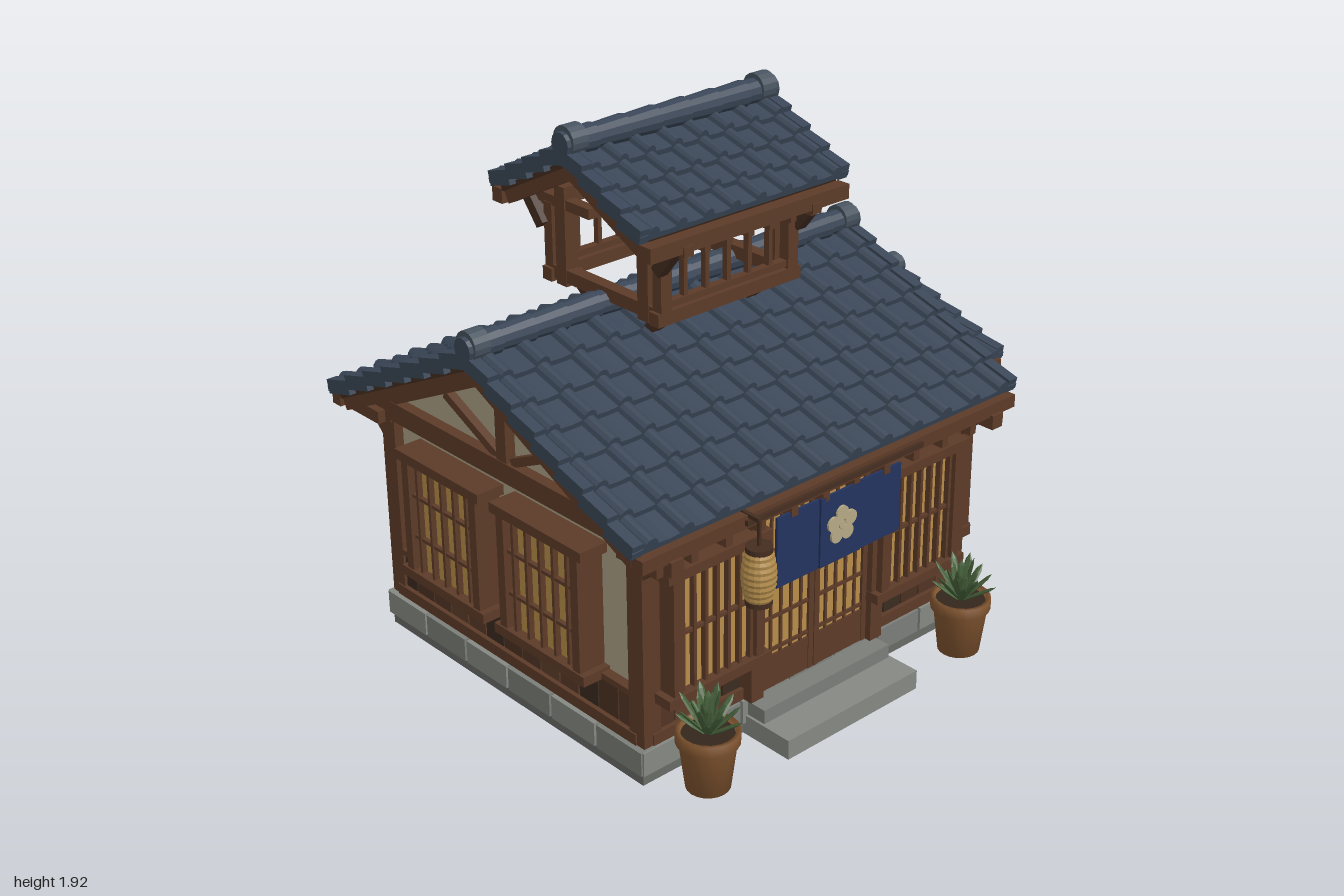
import * as THREE from 'three';

const C = {
  tile: 0x3a4657, ridge: 0x47535f, wood: 0x5c3b28, dark: 0x452d20, plaster: 0xaba085, stone: 0x7a7d78, slab: 0x686a66,
  paper: 0xb88d48, cloth: 0x22335e, petal: 0xb5a886, clay: 0x80542f, soil: 0x33261c, leaf: 0x45603a, lamp: 0xb08a4a,
};
const mats = {};
const mat = (c) => (mats[c] ??= new THREE.MeshStandardMaterial({ color: c, flatShading: true }));

function add(parent, name, geo, color, x = 0, y = 0, z = 0) {
  const m = new THREE.Mesh(geo, mat(color));
  m.name = name;
  m.position.set(x, y, z);
  parent.add(m);
  return m;
}
const box = (p, name, color, w, h, d, x, y, z) => add(p, name, new THREE.BoxGeometry(w, h, d), color, x, y, z);
function group(parent, name, x = 0, y = 0, z = 0, ry = 0) {
  const g = new THREE.Group();
  g.name = name;
  g.position.set(x, y, z);
  g.rotation.y = ry;
  parent.add(g);
  return g;
}
// Square timber between two points
function timber(p, name, a, b, w = 0.04, color = C.wood) {
  const A = new THREE.Vector3(...a), B = new THREE.Vector3(...b), dir = B.clone().sub(A);
  const m = box(p, name, color, w, dir.length(), w, 0, 0, 0);
  m.position.copy(A).add(B).multiplyScalar(0.5);
  m.quaternion.setFromUnitVectors(new THREE.Vector3(0, 1, 0), dir.normalize());
}

// Gable roof: stepped courses of rolled tiles, verges, deck, barge boards and ridge
function roof(parent, name, o) {
  const g = group(parent, name, (o.x0 + o.x1) / 2, 0, o.zc);
  const W = o.x1 - o.x0, drop = o.ridgeY - o.eaveY, a = Math.atan2(drop, o.half);
  const len = Math.hypot(drop, o.half), step = len / o.rows, pitch = W / o.cols, k = Math.min(1, pitch / 0.13);
  const s = new THREE.Shape();
  s.moveTo(-W / 2, -0.018);
  const us = [0, 0.3, 0.34, 0.42, 0.5, 0.58, 0.66, 0.7], hs = [0, 0.003, 0.018, 0.028, 0.031, 0.028, 0.018, 0.003];
  for (let c = 0; c < o.cols; c++) us.forEach((u, i) => s.lineTo(-W / 2 + (c + u) * pitch, hs[i] * k));
  s.lineTo(W / 2, 0);
  s.lineTo(W / 2, -0.018);
  const course = new THREE.ExtrudeGeometry(s, { depth: step * 1.06, bevelEnabled: false });
  for (const side of [0, Math.PI]) {
    const half = group(g, 'roofSlope', 0, o.ridgeY, 0, side);
    const slope = group(half, 'tiles');
    slope.rotation.x = a;
    box(slope, 'roofDeck', C.dark, W - 0.05, 0.018, len - 0.02, 0, -0.025, len / 2);
    for (let r = 0; r < o.rows; r++) {
      add(slope, 'tileCourse', course, C.tile, 0, 0, r * step).rotation.x = -0.02 / step;
      for (const e of [-1, 1])
        box(slope, 'vergeTile', C.tile, 0.04, 0.05, step * 1.05, e * (W / 2 - 0.02), 0.008, (r + 0.5) * step).rotation.x = -0.02 / step;
    }
    for (const e of [-1, 1]) box(slope, 'bargeBoard', C.wood, 0.035, 0.05, len - 0.02, e * (W / 2 - 0.05), -0.052, len / 2);
  }
  // Ridge rolls and round end caps
  const n = Math.round(W / 0.13), seg = W / n, y = o.ridgeY + o.r * 0.9;
  for (let i = 0; i < n; i++)
    add(g, 'ridgeTile', new THREE.CylinderGeometry(o.r * 0.8, o.r * 0.92, seg, 12), C.tile, -W / 2 + (i + 0.5) * seg, y - 0.008, 0).rotation.z = Math.PI / 2;
  for (const e of [-1, 1])
    add(g, 'ridgeCap', new THREE.CylinderGeometry(o.r, o.r, 0.06, 16), C.ridge, e * (W / 2 - 0.045), y, 0).rotation.z = Math.PI / 2;
}

// Projecting lattice window on a wall facing local +z
function latticeWindow(wall, x, y, w, h, bars, rows, depth = 0.1) {
  const g = group(wall, 'window', x, y, 0);
  box(g, 'paper', C.paper, w - 0.03, h - 0.03, 0.04, 0, 0, depth * 0.5);
  for (const e of [-1, 1]) {
    box(g, 'windowFrame', C.wood, 0.035, h, depth, e * (w / 2 - 0.017), 0, depth / 2);
    box(g, 'windowRail', C.wood, w + 0.05, 0.035, depth + 0.012, 0, e * (h / 2 - 0.01), depth / 2);
  }
  for (let i = 1; i < bars; i++) box(g, 'bar', C.wood, 0.012, h - 0.03, 0.02, -w / 2 + (i * w) / bars, 0, depth * 0.8);
  for (let i = 1; i < rows; i++) box(g, 'crossBar', C.wood, w - 0.03, 0.012, 0.016, 0, -h / 2 + (i * h) / rows, depth * 0.78);
}
// Skirting of boards in alternating browns
function boards(wall, x0, x1) {
  const n = Math.max(1, Math.round((x1 - x0) / 0.095)), w = (x1 - x0) / n;
  const shades = [0x5a3927, 0x4a3021, 0x5f3d2a, 0x3b2b20, 0x523424];
  for (let i = 0; i < n; i++) box(wall, 'skirtBoard', shades[(i * 3 + n) % 5], w - 0.006, 0.14, 0.025, x0 + (i + 0.5) * w, 0.23, 0.012);
  box(wall, 'skirtRail', C.wood, x1 - x0, 0.022, 0.04, (x0 + x1) / 2, 0.305, 0.015);
}
// Solid gabled block
function gableBlock(p, name, x0, x1, zc, half, eave, apex) {
  const s = new THREE.Shape([[-half, 0.13], [half, 0.13], [half, eave], [0, apex], [-half, eave]].map((q) => new THREE.Vector2(...q)));
  const geo = new THREE.ExtrudeGeometry(s, { depth: x1 - x0, bevelEnabled: false }).rotateY(Math.PI / 2);
  add(p, name, geo, C.plaster, x0, 0, zc);
}
// Truss timbers in a gable at the given x
function truss(p, x, zc, half, base, apex) {
  const g = group(p, 'gableTruss', x, 0, zc);
  box(g, 'tieBeam', C.wood, 0.05, 0.05, half * 2 + 0.16, 0, base, 0);
  box(g, 'kingPost', C.wood, 0.045, apex - base, 0.05, 0, (apex + base) / 2, 0);
  for (const e of [-1, 1]) {
    timber(g, 'rafter', [0, apex - 0.02, 0], [0, base + 0.02, e * half], 0.045);
    timber(g, 'strut', [0, base + 0.03, e * 0.04], [0, (apex + base) / 2 - 0.02, e * half * 0.48], 0.03);
  }
}
// Eave purlins with rafter ends on both long sides
function eaves(p, x0, x1, zc, out, wallHalf, y, n) {
  for (const e of [-1, 1]) {
    box(p, 'eavePurlin', C.wood, x1 - x0, 0.045, 0.045, (x0 + x1) / 2, y, zc + e * out);
    for (let i = 0; i < n; i++) {
      const x = x0 + ((i + 0.5) * (x1 - x0)) / n;
      box(p, 'rafterEnd', C.wood, 0.028, 0.045, out - wallHalf + 0.04, x, y - 0.035, zc + (e * (out + wallHalf)) / 2);
    }
  }
}

function pottedPlant(parent, x, z) {
  const g = group(parent, 'pottedPlant', x, 0.01, z);
  const prof = [[0, 0], [0.072, 0], [0.093, 0.165], [0.103, 0.165], [0.103, 0.205], [0.088, 0.205], [0.085, 0.185], [0, 0.185]];
  const pot = add(g, 'pot', new THREE.LatheGeometry(prof.map((q) => new THREE.Vector2(...q)), 20), C.clay);
  pot.material = new THREE.MeshStandardMaterial({ color: C.clay });
  add(g, 'soil', new THREE.CylinderGeometry(0.086, 0.086, 0.01, 16), C.soil, 0, 0.187, 0);
  for (let i = 0; i < 22; i++) {
    const turn = group(g, 'leafStem', 0, 0.185, 0, i * 2.4);
    const len = 0.17 - 0.02 * (i % 3);
    const leaf = add(turn, 'leaf', new THREE.SphereGeometry(1, 6, 4).translate(0, 1, 0), C.leaf);
    leaf.scale.set(0.017, len / 2, 0.006);
    leaf.rotation.x = 0.12 + (i / 22) * 0.85;
  }
}

export function createModel() {
  const root = new THREE.Group();
  root.name = 'tiledHouse';
  const zc = -0.063, X0 = -0.83, X1 = 0.57, H = 0.63, xm = (X0 + X1) / 2;

  // Stone base and entrance steps
  box(root, 'baseSlab', C.slab, 1.45, 0.12, 1.33, -0.147, 0.06, zc);
  for (const e of [-1, 1]) {
    for (let i = 0; i < 7; i++) box(root, 'baseStone', i % 2 ? C.stone : 0x858883, 0.2, 0.085, 0.06, -0.147 + (i - 3) * 0.2107, 0.085, zc + e * 0.648);
    for (let i = 0; i < 6; i++) box(root, 'baseStone', i % 2 ? C.stone : 0x858883, 0.06, 0.085, 0.215, -0.147 + e * 0.708, 0.085, zc + (i - 2.5) * 0.2257);
  }
  box(root, 'lowerStep', 0x858883, 0.6, 0.07, 0.22, -0.145, 0.035, 0.7);
  box(root, 'upperStep', C.stone, 0.58, 0.05, 0.1, -0.145, 0.095, 0.64);

  // Main house
  const house = group(root, 'mainHouse');
  gableBlock(house, 'walls', X0, X1, zc, H, 0.9, 1.2);
  const front = group(house, 'frontWall', xm, 0, zc + H), back = group(house, 'backWall', xm, 0, zc - H, Math.PI);
  const left = group(house, 'sideWall', X0, 0, zc, -Math.PI / 2), right = group(house, 'sideWall', X1, 0, zc, Math.PI / 2);
  for (const [wall, half] of [[front, 0.7], [back, 0.7], [left, H], [right, H]]) {
    box(wall, 'sill', C.wood, half * 2, 0.04, 0.06, 0, 0.15, 0.01);
    box(wall, 'wallPlate', C.wood, half * 2 + 0.06, 0.05, 0.05, 0, 0.835, 0.015);
    if (wall !== front) boards(wall, -half, half);
    for (const e of [-1, 1]) box(wall, 'cornerPost', C.wood, 0.07, 0.73, 0.07, e * half, 0.495, 0);
  }
  boards(front, -0.7, -0.3);
  boards(front, 0.26, 0.7);
  latticeWindow(front, -0.475, 0.52, 0.38, 0.46, 8, 2);
  latticeWindow(front, 0.445, 0.52, 0.38, 0.46, 8, 2);
  for (const x of [-0.2, 0.25]) latticeWindow(back, x, 0.53, 0.39, 0.46, 6, 3);
  for (const x of [-0.27, 0.24]) latticeWindow(left, x, 0.53, 0.4, 0.46, 6, 3);

  // Sliding doors
  const door = group(front, 'doorway', -0.015, 0, 0);
  for (const e of [-1, 1]) {
    box(door, 'doorPost', C.wood, 0.055, 0.72, 0.09, e * 0.275, 0.49, 0.03);
    const d = group(door, 'slidingDoor', e * 0.125, 0, 0.03);
    box(d, 'doorPanel', C.wood, 0.24, 0.12, 0.04, 0, 0.19, 0);
    box(d, 'doorPaper', C.paper, 0.24, 0.54, 0.025, 0, 0.52, 0);
    for (const s of [-1, 1]) box(d, 'doorStile', C.wood, 0.022, 0.66, 0.045, s * 0.112, 0.46, 0);
    for (let i = 1; i < 5; i++) box(d, 'doorBar', C.wood, 0.01, 0.54, 0.03, -0.112 + i * 0.045, 0.52, 0.005);
    for (const y of [0.27, 0.39, 0.51, 0.63, 0.76]) box(d, 'doorRail', C.wood, 0.24, 0.012, 0.034, 0, y, 0.003);
  }

  // Doorway curtain with a blossom
  const curtain = group(root, 'doorCurtain', -0.143, 0, 0.718);
  for (let i = -1; i <= 1; i++) box(curtain, 'curtainPanel', C.cloth, 0.182, 0.245, 0.01, i * 0.186, 0.7, i ? 0 : 0.004);
  timber(curtain, 'curtainRod', [-0.42, 0.865, 0.015], [0.36, 0.865, 0.015], 0.018, C.dark);
  for (let i = 0; i < 6; i++) {
    const t = (i * Math.PI * 2) / 5 + Math.PI / 2, r = i < 5 ? 0.04 : 0;
    add(curtain, 'petal', new THREE.CylinderGeometry(i < 5 ? 0.026 : 0.014, i < 5 ? 0.026 : 0.014, 0.01, 14), C.petal, r * Math.cos(t), 0.705 + r * Math.sin(t), 0.012).rotation.x = Math.PI / 2;
  }

  // Main roof and its timbers
  roof(root, 'mainRoof', { x0: -0.995, x1: 0.705, zc, ridgeY: 1.265, eaveY: 0.9, half: 0.765, rows: 7, cols: 12, r: 0.05 });
  eaves(root, -0.97, 0.685, zc, 0.77, H, 0.865, 12);
  for (const x of [X0 - 0.015, X1 + 0.015]) {
    truss(root, x, zc, H, 0.855, 1.2);
    for (const e of [-1, 1]) {
      timber(root, 'eaveBracket', [x, 0.73, zc + e * 0.64], [x, 0.84, zc + e * 0.75], 0.035);
      box(root, 'bracketBeam', C.wood, 0.05, 0.05, 0.2, x, 0.825, zc + e * 0.705);
    }
  }

  // Side annex
  const annex = group(root, 'annex'), az = -0.095, A = 0.435;
  gableBlock(annex, 'annexWalls', 0.56, 0.885, az, A, 0.81, 0.95);
  const aRight = group(annex, 'annexSideWall', 0.885, 0, az, Math.PI / 2);
  const aFront = group(annex, 'annexFrontWall', 0.735, 0, az + A), aBack = group(annex, 'annexBackWall', 0.735, 0, az - A, Math.PI);
  for (const [wall, half] of [[aRight, A], [aFront, 0.15], [aBack, 0.15]]) {
    box(wall, 'annexSill', C.wood, half * 2 + 0.06, 0.04, 0.06, 0, 0.145, 0.01);
    box(wall, 'annexPlate', C.wood, half * 2 + 0.06, 0.05, 0.05, 0, 0.79, 0.01);
    boards(wall, -half, half);
    for (const e of [-1, 1]) box(wall, 'annexPost', C.wood, 0.06, 0.66, 0.06, e * half, 0.46, 0);
  }
  latticeWindow(aRight, 0, 0.525, 0.44, 0.44, 5, 3, 0.095);
  latticeWindow(aBack, 0, 0.525, 0.17, 0.44, 4, 3, 0.06);
  roof(annex, 'annexRoof', { x0: 0.585, x1: 0.995, zc: az, ridgeY: 1.005, eaveY: 0.83, half: 0.505, rows: 5, cols: 5, r: 0.042 });
  eaves(annex, 0.6, 0.97, az, 0.505, A, 0.81, 4);
  truss(annex, 0.9, az, A, 0.805, 0.955);

  // Open roof lantern
  const cup = group(root, 'roofLantern', -0.143, 0, zc);
  for (const e of [-1, 1]) {
    box(cup, 'baseBeam', C.wood, 0.62, 0.045, 0.045, 0, 1.325, e * 0.262);
    box(cup, 'endBeam', C.wood, 0.045, 0.045, 0.57, e * 0.275, 1.335, 0);
    box(cup, 'latticeSill', C.wood, 0.55, 0.022, 0.03, 0, 1.365, e * 0.262);
    box(cup, 'latticeHead', C.wood, 0.55, 0.03, 0.03, 0, 1.565, e * 0.262);
    box(cup, 'cupolaPurlin', C.wood, 0.85, 0.05, 0.05, 0, 1.6, e * 0.36);
    for (let i = -2; i <= 2; i++) box(cup, 'latticeBar', C.wood, 0.016, 0.21, 0.022, i * 0.092, 1.46, e * 0.262);
    for (let i = -3; i <= 3; i++) box(cup, 'cupolaRafterEnd', C.wood, 0.025, 0.035, 0.12, i * 0.092, 1.57, e * 0.315);
    for (const s of [-1, 1]) {
      box(cup, 'cupolaPost', C.wood, 0.05, 0.34, 0.05, s * 0.275, 1.47, e * 0.2);
      box(cup, 'latticePost', C.wood, 0.045, 0.24, 0.04, s * 0.275, 1.45, e * 0.265);
      box(cup, 'cantilever', C.wood, 0.04, 0.035, 0.33, s * 0.275, 1.58, e * 0.225);
      timber(cup, 'cupolaBracket', [s * 0.3, 1.49, e * 0.28], [s * 0.3, 1.59, e * 0.36], 0.04, C.dark);
      timber(cup, 'cupolaLeg', [s * 0.21, 1.31, e * 0.24], [s * 0.21, 1.2, e * 0.1], 0.035, C.dark);
    }
  }
  roof(root, 'lanternRoof', { x0: -0.593, x1: 0.297, zc, ridgeY: 1.825, eaveY: 1.645, half: 0.355, rows: 4, cols: 8, r: 0.05 });

  // Hanging paper lamp
  const lamp = group(root, 'hangingLamp', -0.545, 0, 0.772);
  const prof = [];
  for (let i = 0; i <= 16; i++) prof.push(new THREE.Vector2(0.042 + 0.012 * Math.sin((i / 16) * Math.PI) + (i % 2) * 0.003, 0.615 + i * 0.0105));
  add(lamp, 'lampShade', new THREE.LatheGeometry(prof, 18), C.lamp);
  for (const y of [0.608, 0.79]) add(lamp, 'lampCap', new THREE.CylinderGeometry(0.043, 0.043, 0.018, 18), C.dark, 0, y, 0);
  timber(lamp, 'lampCord', [0, 0.79, 0], [0, 0.885, 0], 0.01, C.dark);
  timber(lamp, 'lampArm', [0, 0.885, 0.004], [0, 0.885, -0.1], 0.014, C.dark);

  for (const x of [-0.73, 0.44]) pottedPlant(root, x, 0.745);
  return root;
}
